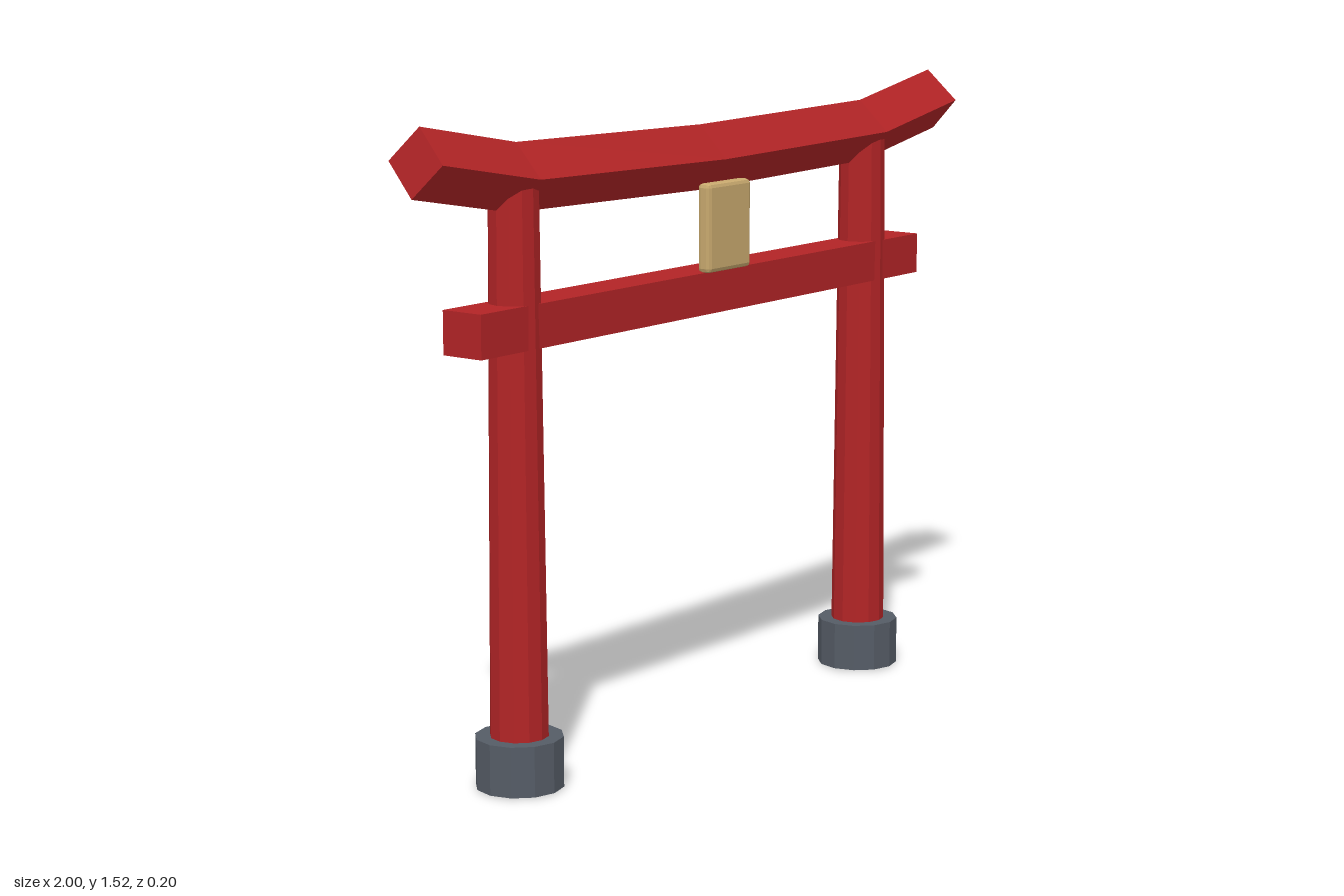
import * as THREE from 'three';
import { RoundedBoxGeometry } from 'three/addons/geometries/RoundedBoxGeometry.js';

function material(name, color) {
  const m = new THREE.MeshStandardMaterial({ color, flatShading: true });
  m.name = name;
  return m;
}

// Sweeps a diamond section along a path of [x, y, tilt] stations running in +x.
function diamondBeam(stations, r) {
  const positions = [];
  const index = [];
  for (const [x, y, tilt] of stations) {
    const nx = -Math.sin(tilt) * r;
    const ny = Math.cos(tilt) * r;
    positions.push(x + nx, y + ny, 0, x, y, r, x - nx, y - ny, 0, x, y, -r);
  }
  const last = (stations.length - 1) * 4;
  for (let i = 0; i < last; i += 4) {
    for (let j = 0; j < 4; j++) {
      const k = (j + 1) % 4;
      index.push(i + j, i + k, i + 4 + k, i + j, i + 4 + k, i + 4 + j);
    }
  }
  index.push(0, 2, 1, 0, 3, 2); // end caps
  index.push(last, last + 1, last + 2, last, last + 2, last + 3);
  const g = new THREE.BufferGeometry();
  g.setAttribute('position', new THREE.Float32BufferAttribute(positions, 3));
  g.setIndex(index);
  const flat = g.toNonIndexed();
  flat.computeVertexNormals();
  return flat;
}

export function createModel() {
  const red = material('vermilion', 0xb22426);
  const stone = material('darkStone', 0x555c66);
  const wood = material('paleWood', 0xc8a96e);

  const gate = new THREE.Group();
  gate.name = 'gate';
  const add = (name, geometry, mat, x, y, z) => {
    const mesh = new THREE.Mesh(geometry, mat);
    mesh.name = name;
    mesh.position.set(x, y, z);
    gate.add(mesh);
  };

  // Tapered posts run right through their stone footings
  for (const [side, s] of [['left', 1], ['right', -1]]) {
    add(side + 'Post', new THREE.CylinderGeometry(0.057, 0.0685, 1.39, 12), red, s * 0.673, 0.695, 0);
    add(side + 'Footing', new THREE.CylinderGeometry(0.102, 0.102, 0.118, 12), stone, s * 0.673, 0.061, 0);
  }

  // Straight tie beam
  add('tieBeam', new THREE.BoxGeometry(1.695, 0.1, 0.11), red, 0, 1.06, 0);

  // Upswept top beam
  const stations = [
    [-0.986, 1.445, -0.18], [-0.67, 1.387, -0.1], [0, 1.375, 0],
    [0.67, 1.387, 0.1], [0.986, 1.445, 0.18],
  ];
  add('topBeam', diamondBeam(stations, 0.0775), red, 0, 0, 0);

  // Blank plaque with chamfered edges
  add('plaque', new RoundedBoxGeometry(0.165, 0.21, 0.036, 1, 0.01), wood, 0, 1.219, 0.072);

  return gate;
}
